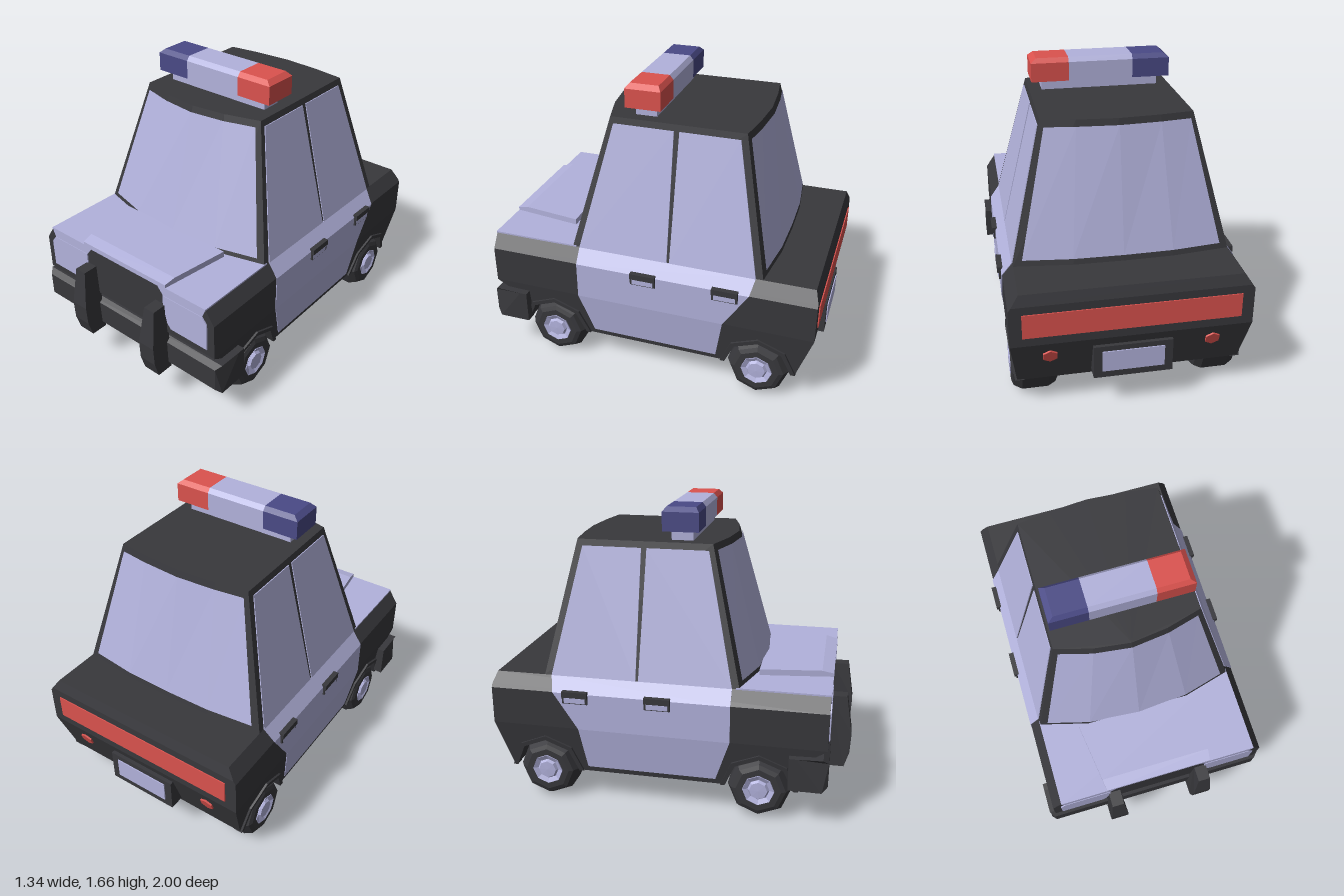
import * as THREE from 'three';

const mat = (name, color) => {
  const m = new THREE.MeshStandardMaterial({ color });
  m.name = name;
  return m;
};

export function createModel() {
  const car = new THREE.Group();
  car.name = 'patrolCar';
  const pale = mat('pale lavender', 0xb2b2dc);
  const dark = mat('charcoal', 0x38383c);
  const red = mat('red', 0xdb524e);
  const blue = mat('navy', 0x4a4a86);

  const add = (name, geo, material) => {
    const flat = geo.index ? geo.toNonIndexed() : geo;
    flat.computeVertexNormals();
    const mesh = new THREE.Mesh(flat, material);
    mesh.name = name;
    car.add(mesh);
    return mesh;
  };
  const shapeOf = (pts) => new THREE.Shape(pts.map(([a, b]) => new THREE.Vector2(a, b)));

  // Side profile [z, y] extruded across x, between x limits that may vary with y and z
  const slab = (name, material, pts, x0, x1) => {
    const geo = new THREE.ExtrudeGeometry(shapeOf(pts), { depth: 1, bevelEnabled: false });
    const p = geo.attributes.position;
    const at = (f, y, z) => (typeof f === 'function' ? f(y, z) : f);
    for (let i = 0; i < p.count; i++) {
      const z = p.getX(i), y = p.getY(i), d = p.getZ(i);
      p.setXYZ(i, d > 0.5 ? at(x0, y, z) : at(x1, y, z), y, z);
    }
    return add(name, geo, material);
  };
  const wide = (name, material, pts, half) => {
    const h = typeof half === 'function' ? half : () => half;
    return slab(name, material, pts, (y, z) => -h(y, z), h);
  };
  // Same slab on one side, or its mirror on the other
  const sided = (name, material, pts, side, inner, outer) =>
    side > 0 ? slab(name, material, pts, inner, outer)
      : slab(name, material, pts, (y, z) => -outer(y, z), (y, z) => -inner(y, z));
  // Front outline [x, y] as a plate
  const plate = (name, material, pts, z, depth) =>
    add(name, new THREE.ExtrudeGeometry(shapeOf(pts), { depth, bevelEnabled: false }).translate(0, 0, z), material);
  const rect = (a, b, c, d) => [[a, b], [c, b], [c, d], [a, d]];

  // Lower body in three bands: tucked sill with wheel arches, flat side, shoulder
  const axles = [0.52, -0.69];
  const hubY = 0.175;
  const arc = (z, r) => [0, 1, 2, 3, 4].map((i) => {
    const a = (i * Math.PI) / 4;
    return [z + r * Math.cos(a), Math.max(0.18, hubY + r * Math.sin(a))];
  });
  const sillX = (y) => 0.6 + (0.035 * (y - 0.18)) / 0.27;
  const shoulderX = (y) => 0.635 - (0.055 * (y - 0.66)) / 0.08;
  wide('lowerBody', dark, [[0.88, 0.45], [0.82, 0.41], [0.82, 0.25], [0.75, 0.18],
    ...arc(axles[0], 0.19), ...arc(axles[1], 0.19), [-0.9, 0.18], [-0.99, 0.45]], sillX);
  wide('underbody', dark, rect(-0.895, 0.185, 0.74, 0.45), 0.36);
  wide('bodySides', dark, rect(-0.99, 0.45, 0.88, 0.66), 0.635);
  wide('shoulder', dark, [[0.88, 0.66], [0.88, 0.74], [-0.97, 0.74], [-0.99, 0.68], [-0.99, 0.66]], shoulderX);

  // Painted doors, following the same three bands
  const skin = 0.004;
  wide('doorLower', pale, [[0.28, 0.21], [0.36, 0.45], [-0.49, 0.45], [-0.45, 0.21]], (y) => sillX(y) + skin);
  wide('doorMiddle', pale, [[0.36, 0.45], [0.36, 0.66], [-0.63, 0.66], [-0.49, 0.45]], 0.635 + skin);
  wide('doorShoulder', pale, [[0.36, 0.66], [0.36, 0.74], [-0.65, 0.74], [-0.63, 0.66]], (y) => shoulderX(y) + skin);

  // Hood with raised centre
  wide('hood', pale, rect(0.38, 0.735, 0.884, 0.746), 0.582);
  wide('hoodBulge', pale, [[0.48, 0.74], [0.48, 0.78], [0.82, 0.78], [0.885, 0.765], [0.885, 0.74]],
    (y, z) => 0.365 - (0.055 * (z - 0.48)) / 0.4);

  // Cabin: ring at the belt line lofted to the roof ring
  const ring = (half, y) => [...half, ...half.slice(1, -1).reverse().map(([x, z]) => [-x, z])]
    .map(([x, z]) => new THREE.Vector3(x, y, z));
  const belt = ring([[0, 0.5], [0.3, 0.475], [0.58, 0.4], [0.58, -0.69], [0.27, -0.725], [0, -0.73]], 0.74);
  const roof = ring([[0, 0.3], [0.2, 0.275], [0.4, 0.22], [0.4, -0.53], [0.22, -0.555], [0, -0.57]], 1.475);
  const loft = (low, high, cap) => {
    const v = [];
    const tri = (...ps) => ps.forEach((p) => v.push(p.x, p.y, p.z));
    for (let i = 0; i + 1 < low.length; i++) {
      tri(low[i], low[i + 1], high[i + 1]);
      tri(low[i], high[i + 1], high[i]);
      if (cap && i > 0) tri(high[0], high[i], high[i + 1]);
    }
    return new THREE.BufferGeometry().setAttribute('position', new THREE.Float32BufferAttribute(v, 3));
  };
  add('cabin', loft([...belt, belt[0]], [...roof, roof[0]], true), dark);

  // Curved front and rear glass, inset to leave the pillars
  const inset = (pts) => {
    const n = pts.length - 1;
    return pts.map((p, i) => (i === 0 ? pts[1].clone().lerp(p, 0.87)
      : i === n ? pts[n - 1].clone().lerp(p, 0.87) : p.clone()));
  };
  const screen = (name, ids, dz) => {
    const b = inset(ids.map((i) => belt[i]));
    const t = inset(ids.map((i) => roof[i]));
    const row = (v) => b.map((p, i) => p.clone().lerp(t[i], v));
    add(name, loft(row(0.045), row(0.955)).translate(0, 0, dz), pale);
  };
  screen('windshield', [8, 9, 0, 1, 2], 0.007);
  screen('rearWindow', [3, 4, 5, 6, 7], -0.007);

  const cabinX = (y) => 0.58 - (0.18 * (y - 0.74)) / 0.735;
  for (const s of [1, -1]) {
    // Side windows either side of the centre pillar
    const glass = (name, pts) => sided(name, pale, pts, s, (y) => cabinX(y) - 0.003, (y) => cabinX(y) + 0.005);
    glass('frontSideWindow', [[0.36, 0.74], [0.2, 1.44], [-0.14, 1.44], [-0.155, 0.74]]);
    glass('rearSideWindow', [[-0.17, 0.74], [-0.17, 1.44], [-0.5, 1.44], [-0.65, 0.74]]);

    // Door handles
    for (const z of [-0.037, -0.5]) {
      sided('handleFrame', dark, rect(z - 0.072, 0.605, z + 0.072, 0.675), s, () => 0.62, () => 0.65);
      sided('handleGrip', dark, rect(z - 0.072, 0.642, z + 0.072, 0.675), s, () => 0.62, () => 0.658);
      sided('handlePlate', pale, rect(z - 0.06, 0.61, z + 0.06, 0.638), s, () => 0.648, () => 0.653);
    }

    // Arch flares and wheels
    for (const z of axles) {
      sided('archFlare', dark, [...arc(z, 0.213), ...arc(z, 0.187).reverse()], s, () => 0.56, (y) => sillX(y) + 0.012);
      const spin = (name, pts, m) => {
        const mesh = add(name, new THREE.LatheGeometry(pts.map(([r, y]) => new THREE.Vector2(r, y)), 8), m);
        mesh.rotation.z = (-s * Math.PI) / 2;
        mesh.position.set(s * 0.5, hubY, z);
      };
      spin('tyre', [[0, -0.125], [0.13, -0.125], [0.155, -0.11], [0.175, -0.07], [0.175, 0.07],
        [0.15, 0.115], [0.125, 0.125], [0.09, 0.125], [0.085, 0.1]], dark);
      spin('hub', [[0.088, 0.1], [0.088, 0.128], [0.06, 0.115], [0.05, 0.13], [0, 0.132]], pale);
    }

    // Nose panels and headlights beside the dark grille
    const mirror = (pts) => pts.map(([x, y]) => [s * x, y]);
    plate('nosePanel', pale, mirror([[0.25, 0.74], [0.29, 0.69], [0.56, 0.69], [0.58, 0.74]]), 0.878, 0.006);
    plate('headlight', pale, mirror([[0.34, 0.49], [0.59, 0.49], [0.59, 0.65], [0.56, 0.69],
      [0.29, 0.69], [0.29, 0.63], [0.315, 0.52]]), 0.878, 0.009);

    // Push bars and bumper returns
    sided('pushBar', dark, [[0.87, 0.21], [0.87, 0.63], [0.965, 0.63], [1, 0.41], [0.995, 0.3], [0.968, 0.21]], s,
      (y) => (y > 0.6 ? 0.23 : 0.21), (y) => (y > 0.6 ? 0.3 : 0.315));
    sided('bumperReturn', dark, rect(0.68, 0.22, 0.73, 0.405), s, () => 0.62, () => 0.67);

    // Round tail lamps on the sloping lower rear
    const lamp = add('tailLamp', new THREE.CylinderGeometry(0.042, 0.042, 0.016, 6), red);
    lamp.rotation.x = -(Math.PI / 2 + 0.32);
    lamp.position.set(s * 0.43, 0.36, -0.962);
  }

  // Front bumper
  wide('frontBumper', dark, [[0.72, 0.22], [0.72, 0.405], [0.86, 0.41], [0.89, 0.385], [0.89, 0.25], [0.86, 0.22]],
    (y, z) => (z > 0.88 ? 0.645 : 0.67));

  // Rear light strip and number plate
  plate('tailStrip', red, rect(-0.57, 0.5, 0.57, 0.635), -0.996, 0.009);
  wide('plateFrame', dark, [[-0.9, 0.21], [-0.9, 0.4], [-0.994, 0.4], [-0.994, 0.21]], 0.21);
  plate('numberPlate', pale, rect(-0.165, 0.25, 0.165, 0.37), -1, 0.009);

  // Roof light bar with chamfered top and ends
  wide('lightBarBase', pale, rect(-0.02, 1.47, 0.1, 1.535), 0.33);
  const lens = (name, m, x0, x1) => {
    const end = (x) => (y) => (y > 1.65 && Math.abs(x) > 0.3 ? Math.sign(x) * 0.36 : x);
    slab(name, m, rect(-0.06, 1.53, 0.14, 1.635), x0, x1);
    slab(name + 'Top', m, [[0.14, 1.635], [0.12, 1.66], [-0.04, 1.66], [-0.06, 1.635]], end(x0), end(x1));
  };
  lens('blueLens', blue, -0.39, -0.18);
  lens('centreLens', pale, -0.18, 0.18);
  lens('redLens', red, 0.18, 0.39);

  return car;
}
